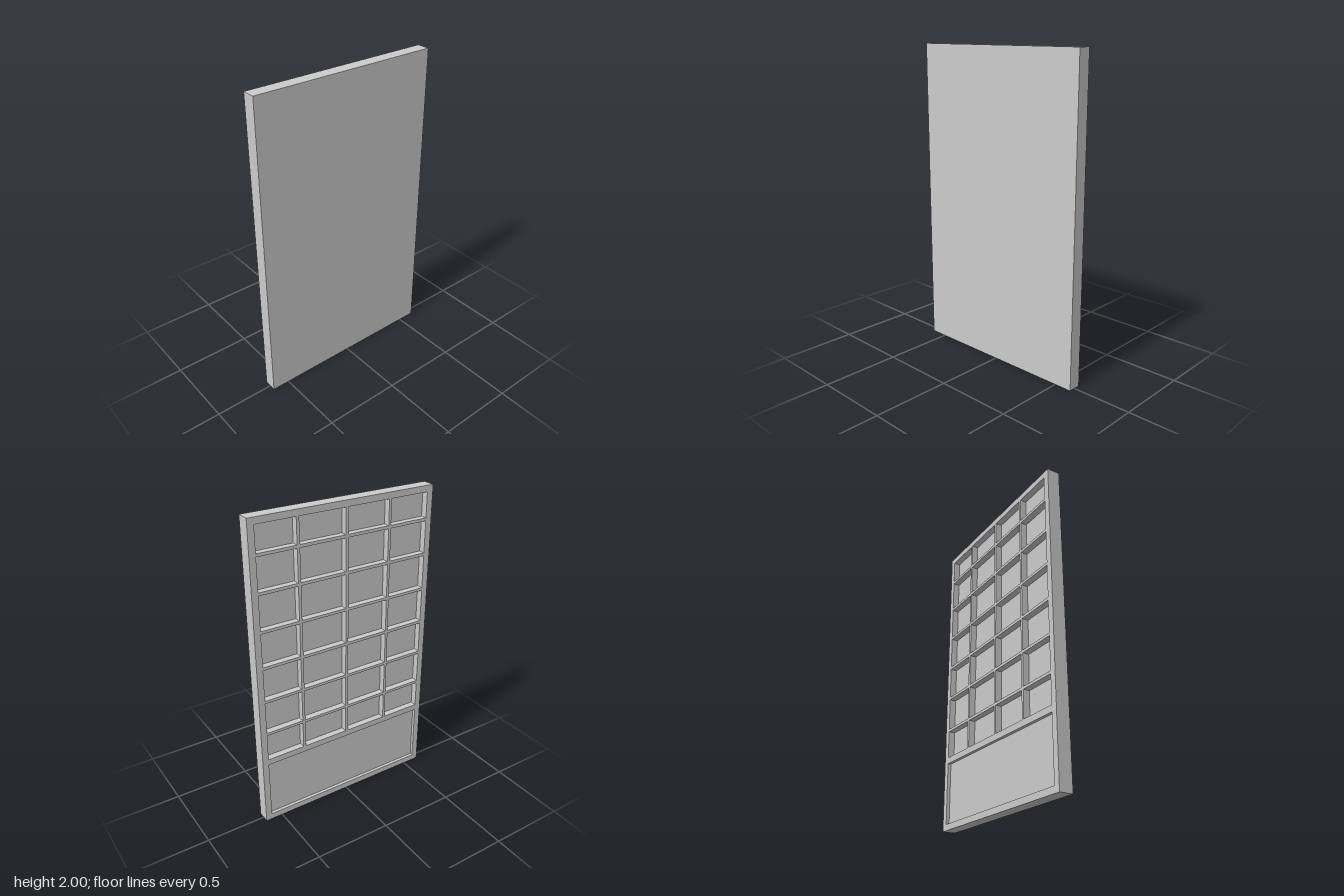
import * as THREE from 'three';

const W = 1.23, H = 2, HALF = 0.042; // overall size, half thickness

// Edges of the openings in the back lattice
const columns = [[-0.574, -0.311], [-0.294, -0.012], [0.006, 0.306], [0.324, 0.574]];
const rows = [[1.802, 1.96], [1.58, 1.783], [1.347, 1.561], [1.117, 1.329],
  [0.892, 1.098], [0.665, 0.874], [0.47, 0.647]];
const tray = { x: [-0.574, 0.574], y: [0.04, 0.43] };

function rectangle(path, [x0, x1], [y0, y1]) {
  path.moveTo(x0, y0);
  path.lineTo(x1, y0);
  path.lineTo(x1, y1);
  path.lineTo(x0, y1);
  path.closePath();
  return path;
}

export function createModel() {
  const group = new THREE.Group();
  const material = new THREE.MeshStandardMaterial({ color: 0xcccccc, flatShading: true });
  const add = (name, geometry, x, y, z) => {
    const mesh = new THREE.Mesh(geometry, material);
    mesh.name = name;
    mesh.position.set(x, y, z);
    group.add(mesh);
  };

  // Plain front slab
  add('frontPanel', new THREE.BoxGeometry(W, H, HALF), 0, H / 2, HALF / 2);

  // Back frame with a grid of pockets above one wide opening
  const shape = rectangle(new THREE.Shape(), [-W / 2, W / 2], [0, H]);
  for (const row of rows) {
    for (const column of columns) shape.holes.push(rectangle(new THREE.Path(), column, row));
  }
  shape.holes.push(rectangle(new THREE.Path(), tray.x, tray.y));
  add('backLattice', new THREE.ExtrudeGeometry(shape, { depth: HALF, bevelEnabled: false }), 0, 0, -HALF);

  // Raised floor that makes the wide lower recess shallower
  const depth = 0.021;
  add('lowerRecessFloor',
    new THREE.BoxGeometry(tray.x[1] - tray.x[0], tray.y[1] - tray.y[0], depth),
    0, (tray.y[0] + tray.y[1]) / 2, -depth / 2);

  return group;
}
